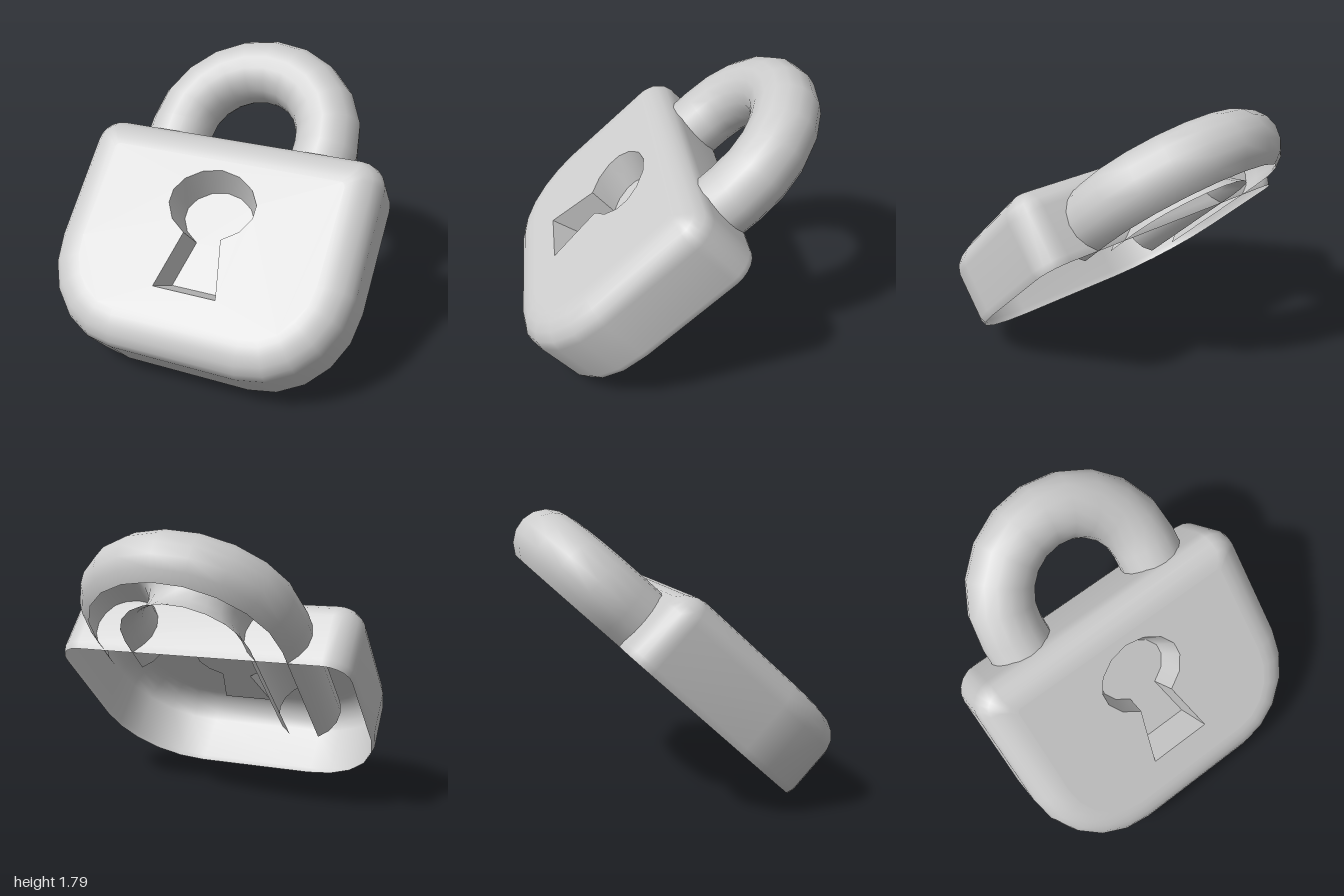
import * as THREE from 'three';
import { toCreasedNormals } from 'three/addons/utils/BufferGeometryUtils.js';

// Skin a list of cross-sections (arrays of Vector3); closed joins each ring end to start.
function loft(rings, closed) {
  const n = rings[0].length;
  const index = [];
  for (let i = 0; i < rings.length - 1; i++) {
    for (let j = 0; j < (closed ? n : n - 1); j++) {
      const k = (j + 1) % n;
      const a = i * n + j, b = i * n + k, c = (i + 1) * n + k, d = (i + 1) * n + j;
      index.push(a, b, c, a, c, d);
    }
  }
  const geometry = new THREE.BufferGeometry().setFromPoints(rings.flat());
  geometry.setIndex(index);
  geometry.computeVertexNormals();
  return geometry;
}

// Counter-clockwise body outline, pulled in by the given inset.
function bodyOutline(inset) {
  const w = 1 - inset, top = 1.49 - inset, bottom = -0.015 + inset;
  const rTop = Math.max(0.17 - inset, 0.03);
  const rx = 0.58 - inset, ry = 0.63 - inset;
  const corners = [
    [w - rTop, top - rTop, rTop, rTop, 0],
    [-w + rTop, top - rTop, rTop, rTop, 1],
    [-w + rx, bottom + ry, rx, ry, 2],
    [w - rx, bottom + ry, rx, ry, 3],
  ];
  const points = [];
  for (const [cx, cy, a, b, quarter] of corners) {
    for (let i = 0; i <= 5; i++) {
      const t = (quarter + i / 5) * Math.PI / 2;
      points.push(new THREE.Vector2(cx + a * Math.cos(t), cy + b * Math.sin(t)));
    }
  }
  return points;
}

// Counter-clockwise keyhole outline, scaled about its middle.
function keyholeOutline(scale) {
  const half = [[0.21, 0.39], [0.125, 0.765], [0.23, 0.84], [0.285, 0.94],
    [0.285, 1.03], [0.23, 1.12], [0.125, 1.19]];
  const left = half.map(([x, y]) => [-x, y]).reverse();
  return [...half, [0, 1.215], ...left].map(([x, y]) =>
    new THREE.Vector2(x * scale, 0.8 + (y - 0.8) * scale));
}

const atDepth = (points, z) => points.map((p) => new THREE.Vector3(p.x, p.y, z));

export function createModel() {
  const grey = new THREE.MeshStandardMaterial({ color: 0xcccccc, side: THREE.DoubleSide });
  grey.name = 'light grey';

  const lock = new THREE.Group();
  lock.name = 'padlock';
  const add = (name, geometry) => {
    const mesh = new THREE.Mesh(geometry, grey);
    mesh.name = name;
    lock.add(mesh);
  };

  // Hollow body, open at the back: rounded side wall as [depth, inset] rings
  const front = 0.515;
  const profile = [[0, 0.015], [0.045, 0], [0.36, 0], [0.42, 0.018],
    [0.468, 0.06], [0.5, 0.115], [0.513, 0.17], [front, 0.21]];
  add('bodyWall', loft(profile.map(([z, inset]) => atDepth(bodyOutline(inset), z)), true));

  // Front panel with the keyhole cut out
  const panel = new THREE.Shape(bodyOutline(0.21));
  panel.holes.push(new THREE.Path(keyholeOutline(1)));
  add('frontPanel', new THREE.ShapeGeometry(panel).translate(0, 0, front));

  // Keyhole recess, tapering to a closed floor
  const floor = 0.315;
  const recess = loft([atDepth(keyholeOutline(1), front), atDepth(keyholeOutline(0.82), floor)], true);
  add('keyholeWall', toCreasedNormals(recess, 0.65));
  add('keyholeFloor', new THREE.ShapeGeometry(new THREE.Shape(keyholeOutline(0.82))).translate(0, 0, floor));

  // Shackle: tube cut flat and open at the back, with one short and one long leg
  const bend = 0.52, tube = 0.215, centreY = 1.6, centreZ = 0.19;
  const cut = Math.asin(centreZ / tube);
  const section = (angle, y) => {
    const ring = [];
    for (let j = 0; j <= 14; j++) {
      const t = Math.PI + cut - (j / 14) * (Math.PI + 2 * cut);
      const r = bend + tube * Math.cos(t);
      ring.push(new THREE.Vector3(r * Math.cos(angle), y + r * Math.sin(angle), centreZ + tube * Math.sin(t)));
    }
    return ring;
  };
  const sections = [section(0, 1.3)];
  for (let i = 0; i <= 10; i++) sections.push(section(i / 10 * Math.PI, centreY));
  sections.push(section(Math.PI, 0.58));
  add('shackle', loft(sections, false));

  // Lean the whole padlock back on its lower rear edge
  lock.rotation.x = -0.83;
  lock.position.z = 0.68;

  const model = new THREE.Group();
  model.name = 'leaningPadlock';
  model.add(lock);
  return model;
}
